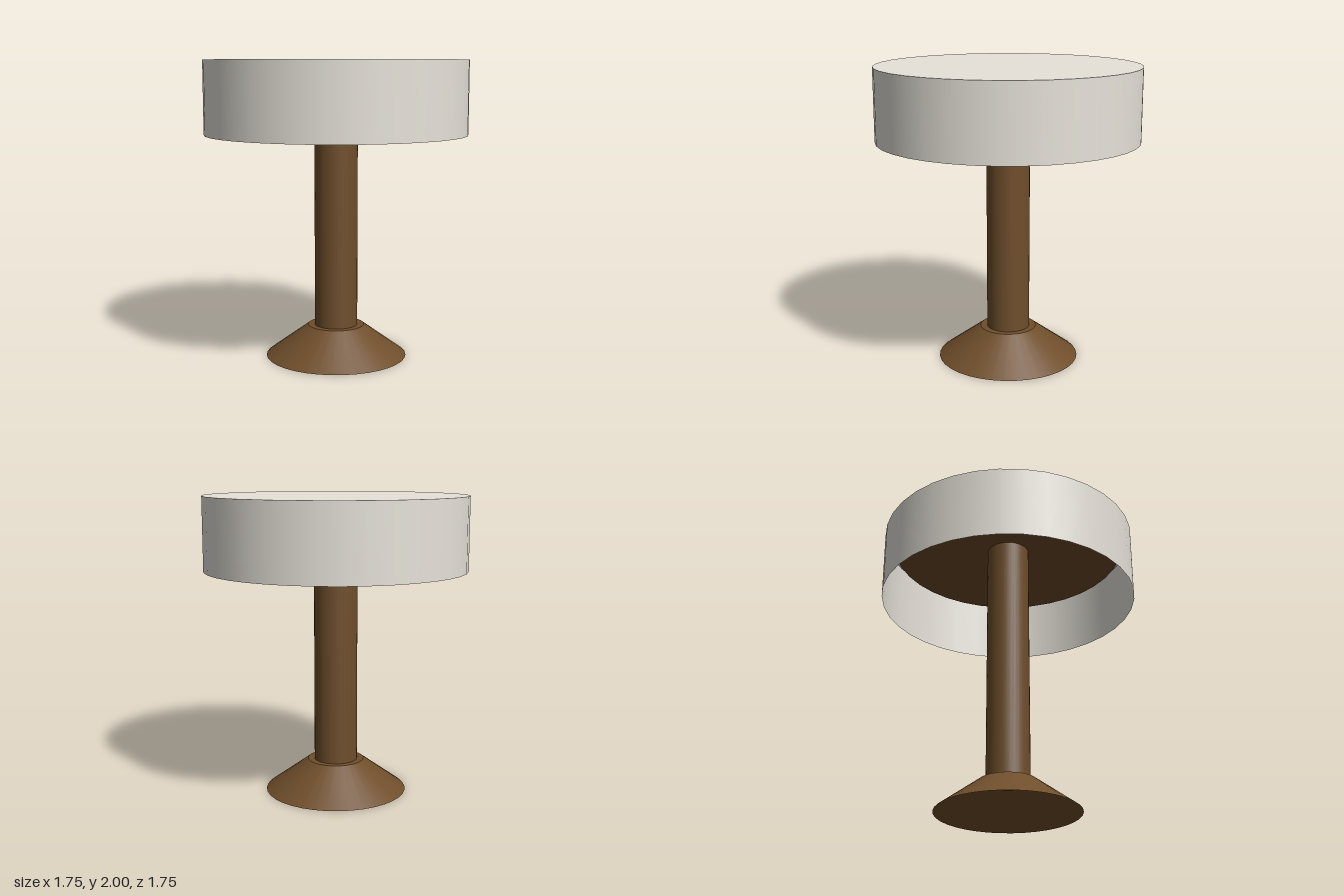
import * as THREE from 'three';

const SIDES = 36;

export function createModel() {
  const model = new THREE.Group();
  model.name = 'tableLamp';

  const fabric = new THREE.MeshStandardMaterial({ color: 0xe7e3da, side: THREE.DoubleSide });
  fabric.name = 'pale fabric';
  const wood = new THREE.MeshStandardMaterial({ color: 0x6f4e2b, side: THREE.DoubleSide });
  wood.name = 'brown wood';

  const add = (name, geometry, material, y) => {
    const mesh = new THREE.Mesh(geometry, material);
    mesh.name = name;
    mesh.position.y = y;
    model.add(mesh);
  };
  // Tapered open wall standing on y
  const wall = (name, top, bottom, height, material, y) =>
    add(name, new THREE.CylinderGeometry(top, bottom, height, SIDES, 1, true), material, y + height / 2);
  // Horizontal disc facing up (or down), with a corner on each axis
  const disc = (name, radius, material, y, down = false) =>
    add(name, new THREE.CircleGeometry(radius, SIDES).rotateX(down ? Math.PI / 2 : -Math.PI / 2), material, y);

  // Hollow flared foot with a flat top
  wall('footFlare', 0.19, 0.477, 0.21, wood, 0);
  disc('footTop', 0.19, wood, 0.21);

  // Stem running up inside the shade
  wall('stem', 0.145, 0.145, 1.705, wood, 0.21);

  // Drum shade, open below, with a smaller wooden ceiling inside
  wall('shadeWall', 0.875, 0.875, 0.49, fabric, 1.51);
  disc('shadeTop', 0.875, fabric, 2);
  disc('shadeCeiling', 0.805, wood, 1.915, true);

  return model;
}
